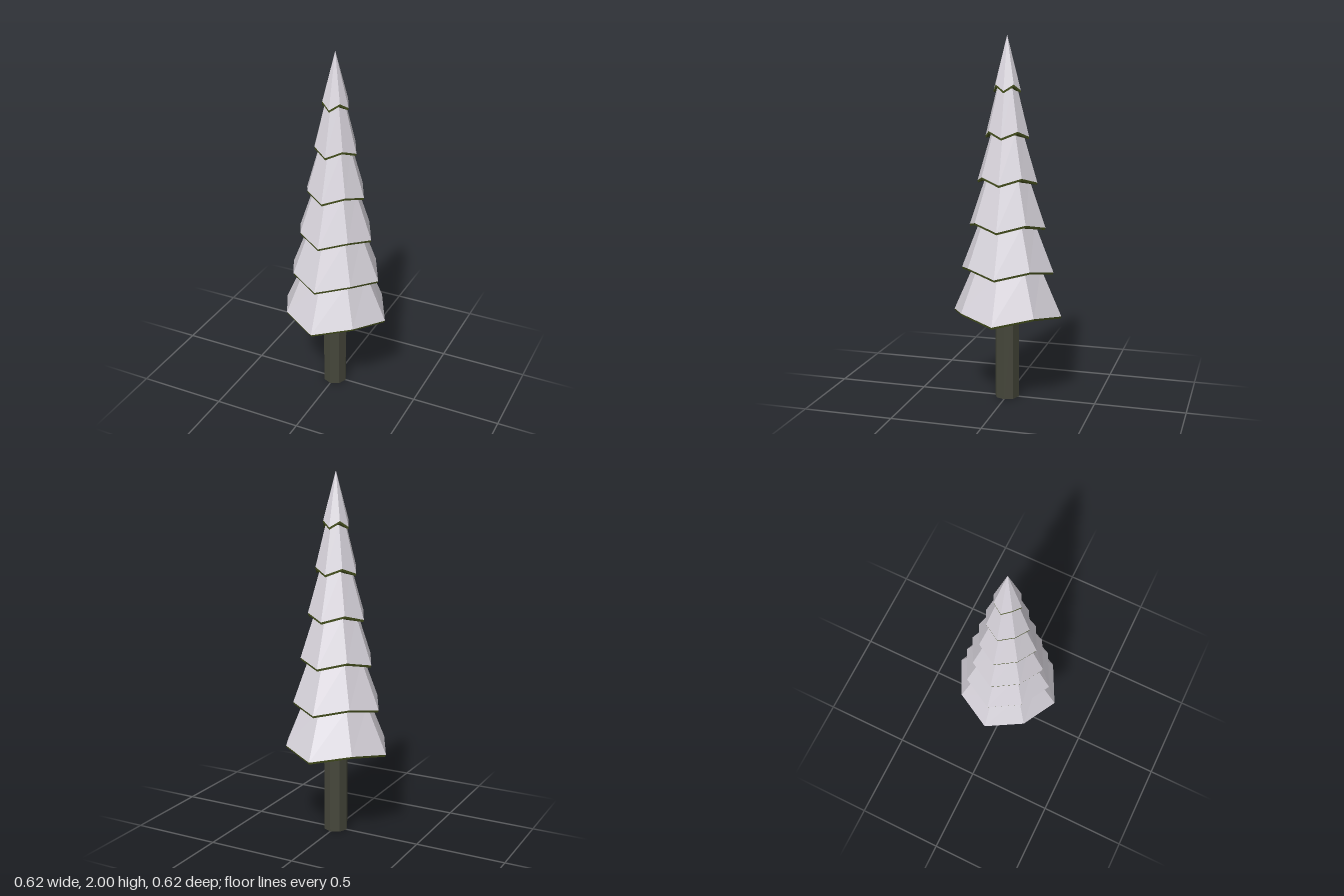
import * as THREE from 'three';

const SIDES = 8;
const TIERS = 6;

// Eight-sided ring; odd corners can be pulled in and lifted
function ring(radius, y, oddScale = 1, oddLift = 0) {
  return Array.from({ length: SIDES }, (_, i) => {
    const a = (i / SIDES) * Math.PI * 2;
    const odd = i % 2;
    const r = radius * (odd ? oddScale : 1);
    return new THREE.Vector3(Math.cos(a) * r, y + odd * oddLift, Math.sin(a) * r);
  });
}

// Faceted skin through successive rings
function skin(rings) {
  const points = [];
  for (let k = 0; k < rings.length - 1; k++) {
    const low = rings[k], high = rings[k + 1];
    for (let i = 0; i < SIDES; i++) {
      const j = (i + 1) % SIDES;
      if (!low[i].equals(low[j])) points.push(low[i], high[i], low[j]);
      if (!high[i].equals(high[j])) points.push(low[j], high[i], high[j]);
    }
  }
  const geometry = new THREE.BufferGeometry().setFromPoints(points);
  geometry.computeVertexNormals();
  return geometry;
}

function part(name, geometry, material) {
  const mesh = new THREE.Mesh(geometry, material);
  mesh.name = name;
  return mesh;
}

export function createModel() {
  const tree = new THREE.Group();
  tree.name = 'snowyTree';
  const paint = (color) => new THREE.MeshStandardMaterial({ color, flatShading: true });
  const snow = paint(0xd8d4dc), needles = paint(0x4a5520), bark = paint(0x45463a);

  // Trunk
  const trunkHeight = 0.52;
  const trunk = part('trunk', new THREE.CylinderGeometry(0.068, 0.068, trunkHeight, SIDES), bark);
  trunk.position.y = trunkHeight / 2;
  tree.add(trunk);

  const tipRadius = (i) => 0.308 - 0.0465 * i;
  const tipHeight = (i) => 0.472 + 0.245 * i;

  for (let i = 0; i < TIERS; i++) {
    const r = tipRadius(i), y = tipHeight(i);
    const tier = new THREE.Group();
    tier.name = 'tier' + (i + 1);
    const odd = 0.93, lift = 0.033;
    const hem = ring(r * 0.985, y, odd, lift);
    const snowEdge = ring(r, y + 0.012, odd, lift);

    // Green underside and thin rim
    tier.add(part('branches', skin([
      ring(0, y + 0.022), ring(r * 0.7, y + 0.022), hem, snowEdge,
    ]), needles));

    // Snow cover, narrowing into the tier above or to the tip
    const top = i < TIERS - 1
      ? ring(tipRadius(i + 1) * 0.73, tipHeight(i + 1) + 0.03)
      : ring(0, 2);
    tier.add(part('snow', skin([snowEdge, top]), snow));
    tree.add(tier);
  }
  return tree;
}
